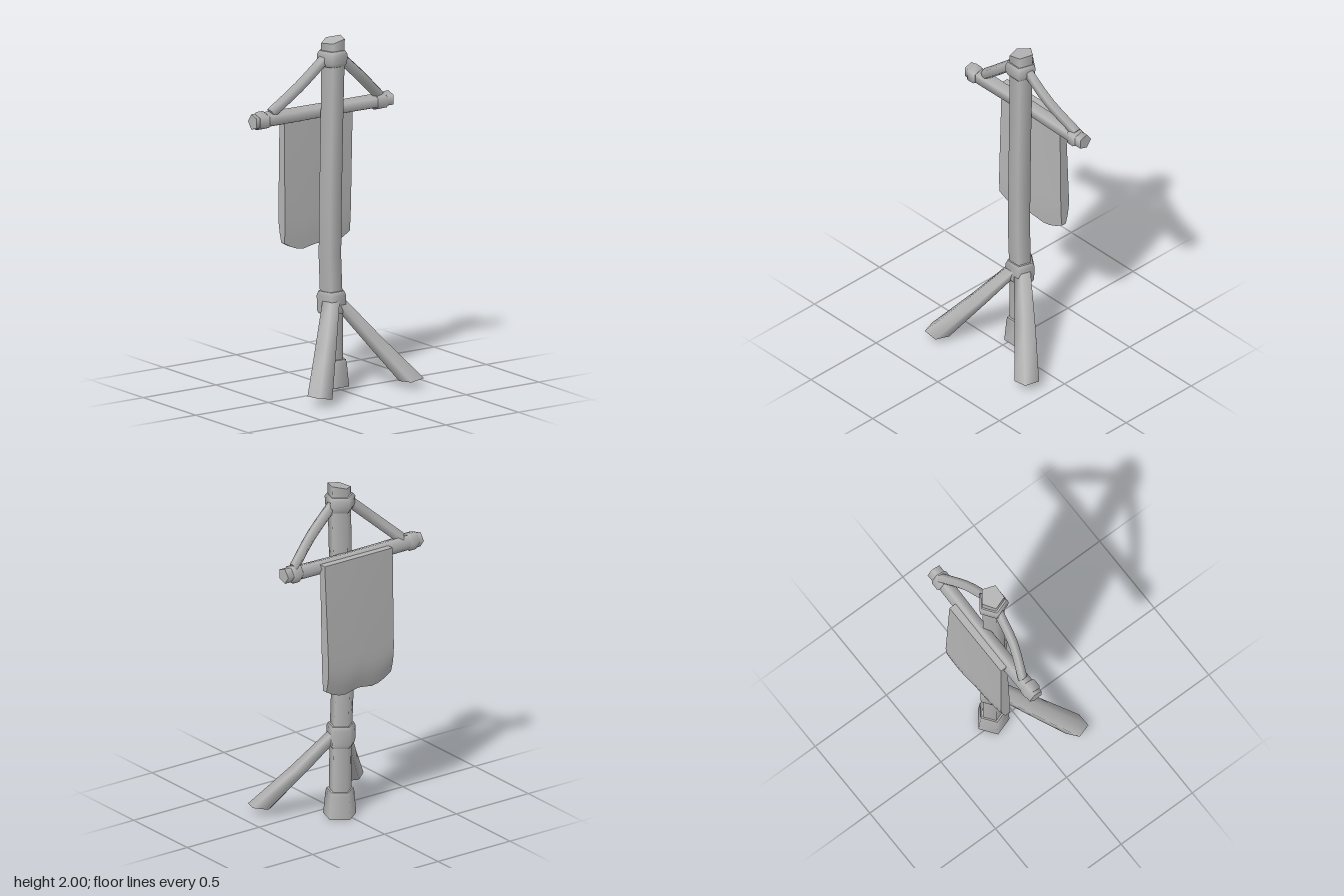
import * as THREE from 'three';

const SIDES = 5;

// Five-sided smooth loft through rings [x, y, z, radius, tilt], listed upward ('y') or towards +x ('x')
function loft(axis, rings) {
  const n = rings.length - 1;
  const geo = new THREE.CylinderGeometry(1, 1, 1, SIDES, n, false, Math.PI);
  const p = geo.attributes.position;
  for (let i = 0; i < p.count; i++) {
    const [x, y, z, r, tilt = 0] = rings[Math.round((p.getY(i) + 0.5) * n)];
    const a = p.getX(i) * r, b = p.getZ(i) * r;
    if (axis === 'y') p.setXYZ(i, x + a, y + a * tilt, z + b);
    else p.setXYZ(i, x + a * tilt, y - a, z + b);
  }
  geo.computeVertexNormals();
  // blend the normals across the side seam
  const nor = geo.attributes.normal, u = new THREE.Vector3(), v = new THREE.Vector3();
  for (let row = 0; row <= n; row++) {
    const i = row * (SIDES + 1), j = i + SIDES;
    u.fromBufferAttribute(nor, i).add(v.fromBufferAttribute(nor, j)).normalize();
    nor.setXYZ(i, u.x, u.y, u.z);
    nor.setXYZ(j, u.x, u.y, u.z);
  }
  return geo;
}

// Hanging cloth: a thin slab that thickens downwards and curls in at the hem
function clothGeometry() {
  const geo = new THREE.BoxGeometry(2, 1, 1, 10, 14, 1);
  const p = geo.attributes.position;
  for (let i = 0; i < p.count; i++) {
    const s = p.getX(i), t = 0.5 - p.getY(i), back = p.getZ(i) < 0;
    const hem = Math.max(0, (t - 0.78) / 0.22);
    const mid = THREE.MathUtils.lerp(-0.237, -0.247, t) - 0.016 * s * t;
    const half = THREE.MathUtils.lerp(0.022, 0.034, t) * (1 - 0.55 * hem * hem);
    const bottom = 0.793 + 0.035 * s ** 6 + 0.008 * Math.cos(s * 7);
    p.setXYZ(i,
      s * 0.236 - 0.006 * t,
      THREE.MathUtils.lerp(1.59, bottom, t),
      mid + (back ? -half : half) + 0.012 * hem * hem);
  }
  geo.computeVertexNormals();
  return geo;
}

export function createModel() {
  const group = new THREE.Group();
  const grey = new THREE.MeshStandardMaterial({ color: 0xb4b4b4 });
  grey.name = 'plain grey';
  const add = (name, geo) => {
    const mesh = new THREE.Mesh(geo, grey);
    mesh.name = name;
    group.add(mesh);
  };

  // Slightly bent upright with a slanted top
  add('pole', loft('y', [
    [0.025, 0.05, -0.12, 0.066], [0.022, 0.45, -0.12, 0.066], [0.01, 0.75, -0.12, 0.066],
    [0.013, 1.05, -0.119, 0.066], [0.022, 1.5, -0.118, 0.066], [0.028, 1.8, -0.118, 0.068],
    [0.03, 1.985, -0.118, 0.069, 0.22],
  ]));

  // Flared base and the two bindings around the pole
  add('poleBase', loft('y', [
    [0.027, 0, -0.118, 0.097], [0.026, 0.13, -0.118, 0.085], [0.025, 0.155, -0.118, 0.079],
  ]));
  add('lowerBinding', loft('y', [
    [0.02, 0.42, -0.12, 0.076], [0.02, 0.44, -0.12, 0.084],
    [0.02, 0.525, -0.12, 0.086], [0.02, 0.548, -0.12, 0.076],
  ]));
  add('upperBinding', loft('y', [
    [0.025, 1.84, -0.118, 0.075], [0.025, 1.862, -0.118, 0.087],
    [0.025, 1.91, -0.118, 0.09], [0.025, 1.93, -0.118, 0.077],
  ]));

  // Two splayed front legs, cut off nearly level at the feet
  add('rightLeg', loft('y', [
    [-0.3, 0.045, 0.215, 0.073, -0.15], [-0.14, 0.28, 0.05, 0.062], [0.005, 0.505, -0.1, 0.05],
  ]));
  add('leftLeg', loft('y', [
    [0.37, 0.045, 0.16, 0.073, 0.15], [0.2, 0.28, 0.015, 0.062], [0.045, 0.5, -0.11, 0.05],
  ]));

  // Crossbar with a binding near each end
  add('crossbar', loft('x', [
    [-0.47, 1.567, -0.19, 0.046], [-0.37, 1.567, -0.19, 0.047], [-0.2, 1.565, -0.192, 0.046],
    [0.1, 1.566, -0.192, 0.043], [0.35, 1.567, -0.187, 0.044], [0.47, 1.57, -0.187, 0.046],
  ]));
  for (const [name, x] of [['rightBarBinding', -0.415], ['leftBarBinding', 0.395]]) {
    add(name, loft('x', [
      [x - 0.033, 1.567, -0.187, 0.047], [x - 0.022, 1.567, -0.187, 0.055],
      [x + 0.022, 1.567, -0.187, 0.055], [x + 0.033, 1.567, -0.187, 0.047],
    ]));
  }

  // Curved ropes from the upper binding down to the bar
  const rope = (start, middle, end) => {
    const curve = new THREE.CatmullRomCurve3([start, middle, end].map(q => new THREE.Vector3(...q)));
    const points = curve.getPoints(6);
    if (points[0].x > points[6].x) points.reverse();
    return loft('x', points.map(q => [q.x, q.y, q.z, 0.029, q.x < 0 ? 0.6 : -0.6]));
  };
  add('rightRope', rope([-0.03, 1.88, -0.12], [-0.19, 1.74, -0.138], [-0.345, 1.6, -0.19]));
  add('leftRope', rope([0.08, 1.88, -0.12], [0.24, 1.74, -0.138], [0.4, 1.6, -0.19]));

  // Cloth hung on the back of the bar
  add('banner', clothGeometry());

  return group;
}
